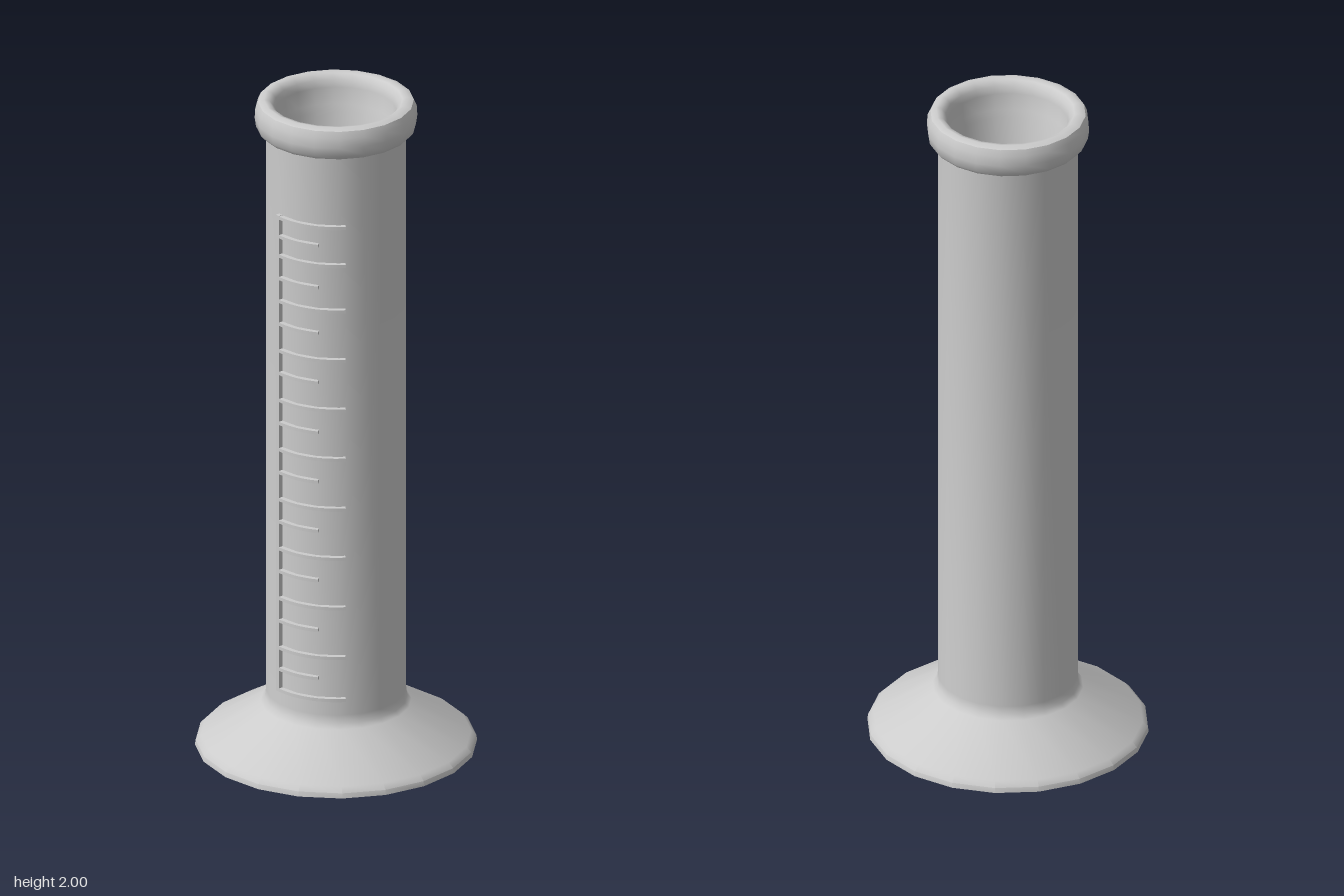
import * as THREE from 'three';
import { toCreasedNormals } from 'three/addons/utils/BufferGeometryUtils.js';

const SIDES = 20;

function material(color = 0xcccccc) {
  return new THREE.MeshStandardMaterial({ color });
}

// Turned part from [radius, height] pairs, creased at sharp edges
function turned(name, points, mat) {
  const lathe = new THREE.LatheGeometry(points.map(([r, y]) => new THREE.Vector2(r, y)), SIDES);
  const mesh = new THREE.Mesh(toCreasedNormals(lathe, 0.7), mat);
  mesh.name = name;
  return mesh;
}

// Thin raised band hugging the tube front between two x positions
function raisedBand(name, x0, x1, y, height, mat) {
  const inner = 0.19, outer = 0.212;
  const a0 = Math.acos(x1 / outer), a1 = Math.acos(x0 / outer);
  const shape = new THREE.Shape();
  shape.absarc(0, 0, outer, a0, a1, false);
  shape.absarc(0, 0, inner, a1, a0, true);
  shape.closePath();
  const geometry = new THREE.ExtrudeGeometry(shape, { depth: height, bevelEnabled: false, curveSegments: 10 });
  geometry.rotateX(Math.PI / 2); // arc opens towards +z, depth runs downwards
  const mesh = new THREE.Mesh(toCreasedNormals(geometry, 0.6), mat);
  mesh.name = name;
  mesh.position.y = y + height / 2;
  return mesh;
}

export function createModel() {
  const model = new THREE.Group();
  model.name = 'measuringCylinder';
  const grey = material();

  // Hollow body: dished underside, flared foot, tube, rolled rim, bore
  model.add(turned('body', [
    [0, 0.085], [0.07, 0.082], [0.14, 0.065], [0.2, 0.045], [0.385, 0],
    [0.402, 0], [0.4, 0.015], [0.385, 0.03], [0.215, 0.132], [0.203, 0.145], [0.2, 0.17],
    [0.2, 1.906], [0.218, 1.906], [0.228, 1.918], [0.232, 1.945], [0.23, 1.975],
    [0.222, 1.993], [0.205, 2], [0.19, 1.996], [0.178, 1.982], [0.173, 1.96], [0.17, 1.91],
    [0.161, 1.89], [0.161, 0.16], [0, 0.16],
  ], grey));

  // Liquid filling the lower part of the bore
  model.add(turned('liquid', [[0, 0.165], [0.159, 0.165], [0.159, 1.12], [0, 1.12]], material(0x6eb4c9)));

  // Graduated scale: vertical spine with alternating long and short marks
  const scale = new THREE.Group();
  scale.name = 'scale';
  scale.add(raisedBand('scaleSpine', -0.132, -0.12, 0.955, 1.478, grey));
  const heights = [0.221, 0.286, 0.352, 0.436, 0.506, 0.59, 0.66, 0.744, 0.813, 0.897, 0.968,
    1.05, 1.121, 1.205, 1.275, 1.358, 1.429, 1.5, 1.57, 1.63, 1.688];
  heights.forEach((y, i) => {
    const long = i % 2 === 0;
    scale.add(raisedBand(long ? 'longMark' : 'shortMark', -0.13, long ? 0.083 : 0.005, y, 0.01, grey));
  });
  model.add(scale);

  return model;
}
